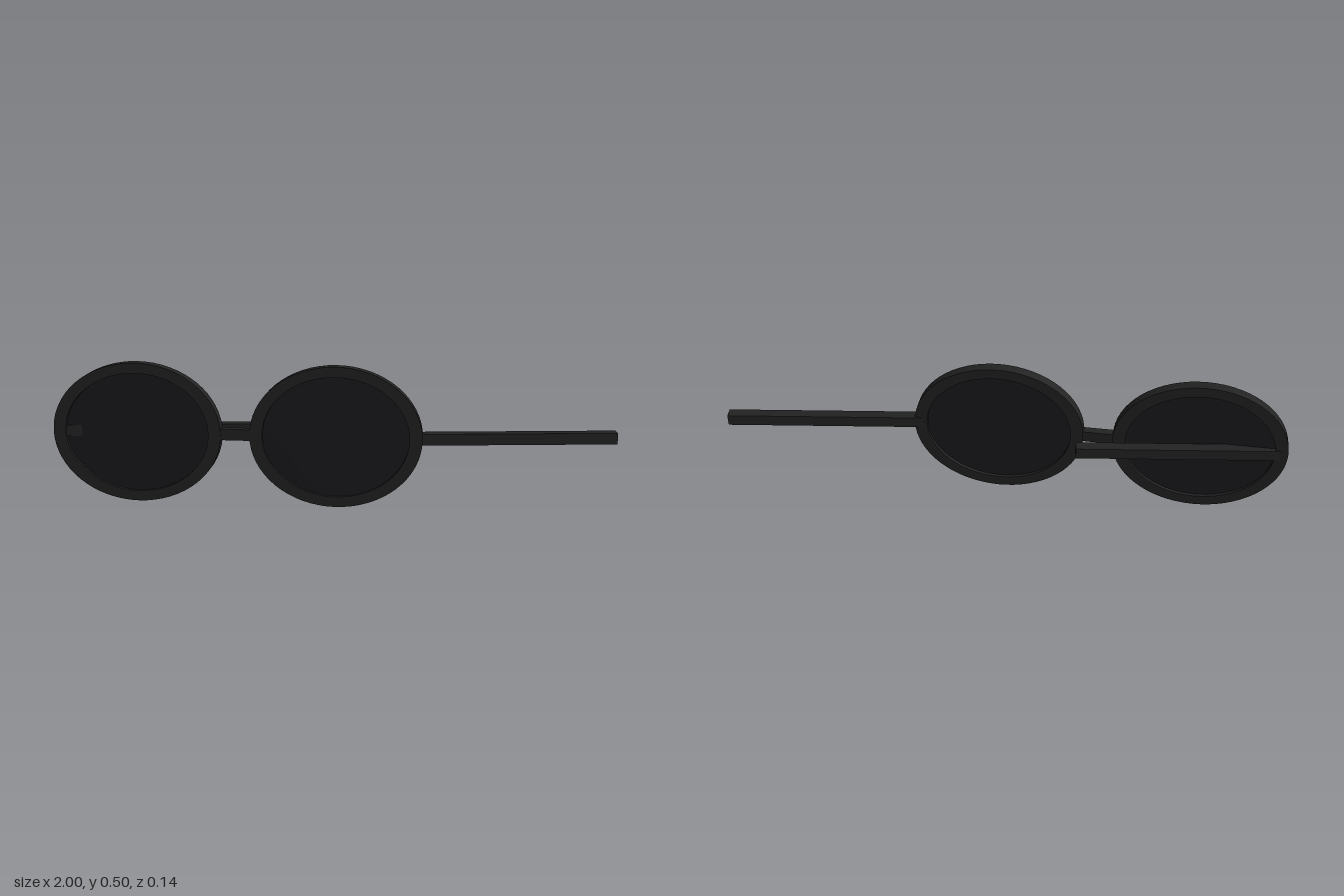
import * as THREE from 'three';

const CY = 0.253, CZ = 0.05;

export function createModel() {
  const group = new THREE.Group();
  group.name = 'sunglasses';
  const frameMat = new THREE.MeshStandardMaterial({ color: 0x222222 });
  const lensMat = new THREE.MeshStandardMaterial({ color: 0x1a1a1e });

  const add = (name, geometry, material, x, y, z) => {
    const mesh = new THREE.Mesh(geometry, material);
    mesh.name = name;
    mesh.position.set(x, y, z);
    group.add(mesh);
    return mesh;
  };

  // Extrusion centred on its own depth
  const slab = (shape, depth) =>
    new THREE.ExtrudeGeometry(shape, { depth, bevelEnabled: false, curveSegments: 32 })
      .translate(0, 0, -depth / 2);
  const oval = (Type, rx, ry) => new Type().absellipse(0, 0, rx, ry, 0, Math.PI * 2, false, 0);

  // Oval rim with an opening, and the thinner lens set into it
  const rimShape = oval(THREE.Shape, 0.305, 0.252);
  rimShape.holes.push(oval(THREE.Path, 0.26, 0.215));
  const rimGeo = slab(rimShape, 0.04);
  const lensGeo = slab(oval(THREE.Shape, 0.26, 0.215), 0.016);

  // Temple arm starts at its hinge and runs along +x
  const templeLength = 0.71;
  const templeGeo = new THREE.BoxGeometry(templeLength, 0.04, 0.04).translate(templeLength / 2, 0, 0);

  // Both arms swing the same way, so the right one lies folded behind its lens
  for (const [side, x, hinge] of [['right', -0.695, -0.972], ['left', 0.018, 0.293]]) {
    add(side + 'Rim', rimGeo, frameMat, x, CY, CZ);
    add(side + 'Lens', lensGeo, lensMat, x, CY, CZ);
    add(side + 'Temple', templeGeo, frameMat, hinge, CY, 0.048).rotation.y = 0.138;
  }

  // Bridge between the rims
  add('bridge', new THREE.BoxGeometry(0.14, 0.04, 0.03), frameMat, -0.339, CY, CZ);

  return group;
}
